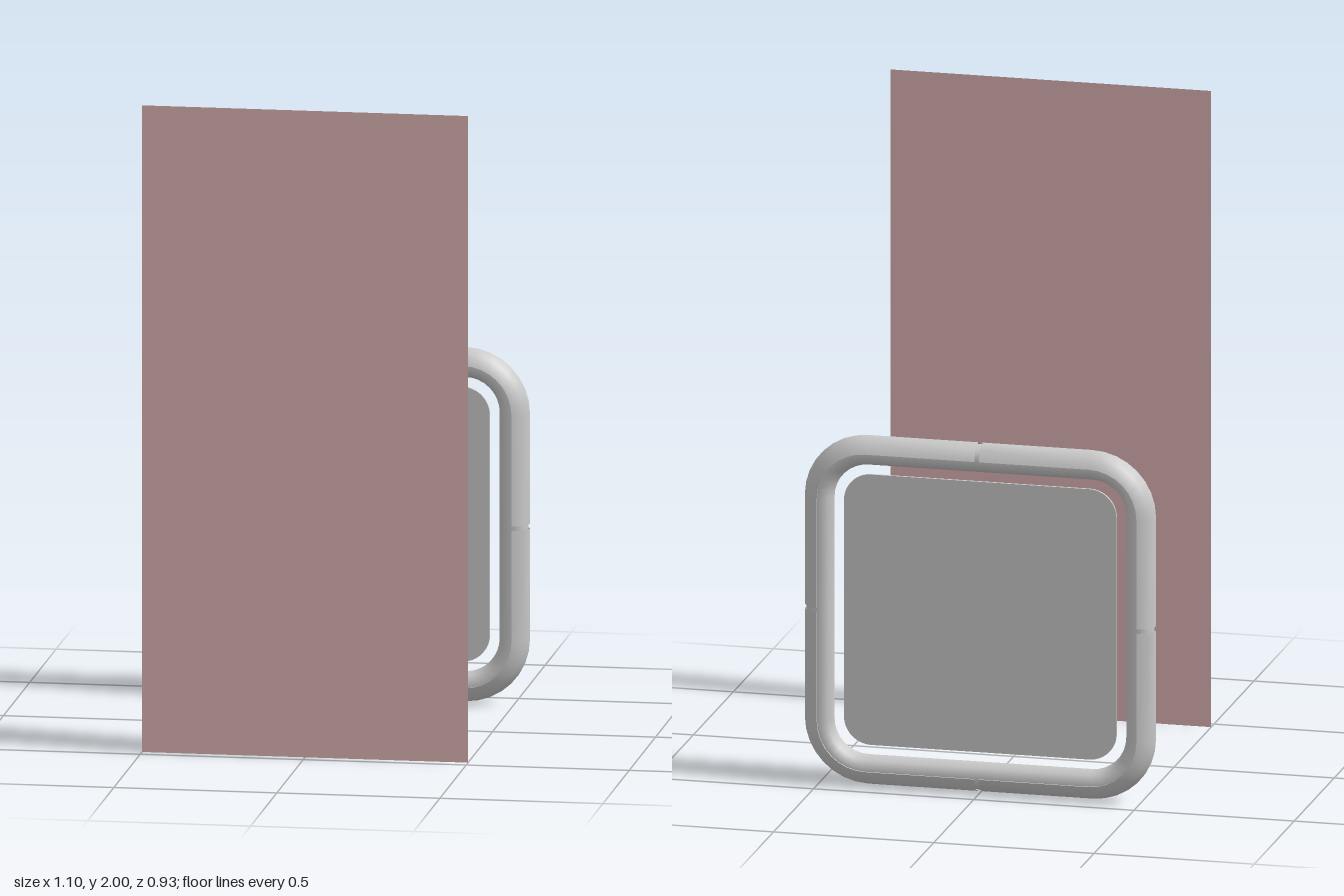
import * as THREE from 'three';
import { toCreasedNormals } from 'three/addons/utils/BufferGeometryUtils.js';

const HALF = 0.499, BEND = 0.15, CY = 0.552, CZ = -0.416;

const grey = new THREE.MeshStandardMaterial({ color: 0xcccccc, side: THREE.DoubleSide });
const pink = new THREE.MeshStandardMaterial({ color: 0xddb5b5, side: THREE.DoubleSide });

// A quarter of the rounded square: straight, bend, straight, with outward normals
function quarterPath(gap, turn) {
  const steps = 8, c = HALF - BEND, path = [];
  const add = (x, y, a) => path.push({
    p: new THREE.Vector2(x, y).rotateAround(new THREE.Vector2(), turn),
    n: new THREE.Vector2(Math.cos(a + turn), Math.sin(a + turn)),
  });
  add(HALF, gap, 0);
  for (let i = 0; i <= steps; i++) {
    const a = (i / steps) * Math.PI / 2;
    add(c + BEND * Math.cos(a), c + BEND * Math.sin(a), a);
  }
  add(gap, HALF, Math.PI / 2);
  return path;
}

// Sweep a profile of [outward, depth] points along a path
function sweep(path, profile) {
  const pos = [], index = [], m = profile.length;
  for (const { p, n } of path)
    for (const [a, b] of profile) pos.push(p.x + n.x * a, p.y + n.y * a, b);
  for (let i = 0; i < path.length - 1; i++)
    for (let j = 0; j < m - 1; j++) {
      const k = i * m + j;
      index.push(k, k + m, k + 1, k + 1, k + m, k + m + 1);
    }
  const geo = new THREE.BufferGeometry();
  geo.setAttribute('position', new THREE.Float32BufferAttribute(pos, 3));
  geo.setIndex(index);
  return toCreasedNormals(geo, 0.9);
}

// Eight-sided arc profile
function arc(radius, from, sides) {
  return Array.from({ length: sides + 1 }, (_, i) => {
    const a = from + i * Math.PI / 4;
    return [radius * Math.cos(a), radius * Math.sin(a)];
  });
}

function roundedSquare(h, r) {
  const s = new THREE.Shape(), c = h - r;
  for (let i = 0; i < 4; i++) {
    const a = i * Math.PI / 2 + Math.PI / 4;
    s.absarc(Math.SQRT2 * c * Math.cos(a), Math.SQRT2 * c * Math.sin(a), r, i * Math.PI / 2, (i + 1) * Math.PI / 2);
  }
  s.closePath();
  return s;
}

export function createModel() {
  const model = new THREE.Group();
  const add = (name, geo, material, parent) => {
    const mesh = new THREE.Mesh(geo, material);
    mesh.name = name;
    parent.add(mesh);
    return mesh;
  };

  const frame = new THREE.Group();
  frame.name = 'frame';
  frame.position.set(0, CY, CZ);
  model.add(frame);

  // Continuous inner tube
  const turns = [0, 1, 2, 3].map((i) => i * Math.PI / 2);
  const loop = turns.flatMap((t) => quarterPath(0.02, t));
  loop.push(loop[0]);
  add('innerTube', sweep(loop, arc(0.044, -Math.PI, 8)), grey, frame);

  // Four outer half-round corner covers, with a narrow seam between them
  const cover = [[0, -0.042], ...arc(0.049, -Math.PI / 2, 4), [0, 0.042]];
  for (const t of turns) add('cornerCover', sweep(quarterPath(0.007, t), cover), grey, frame);

  // Thin panel floating inside the frame
  const panel = new THREE.ExtrudeGeometry(roundedSquare(0.425, 0.085), { depth: 0.008, bevelEnabled: false, curveSegments: 8 });
  panel.translate(0, 0, -0.004);
  add('panel', panel, grey, frame);

  // Tall flat sheet at the front
  add('frontSheet', new THREE.PlaneGeometry(1, 2), pink, model).position.set(0, 1, 0.465);

  return model;
}
